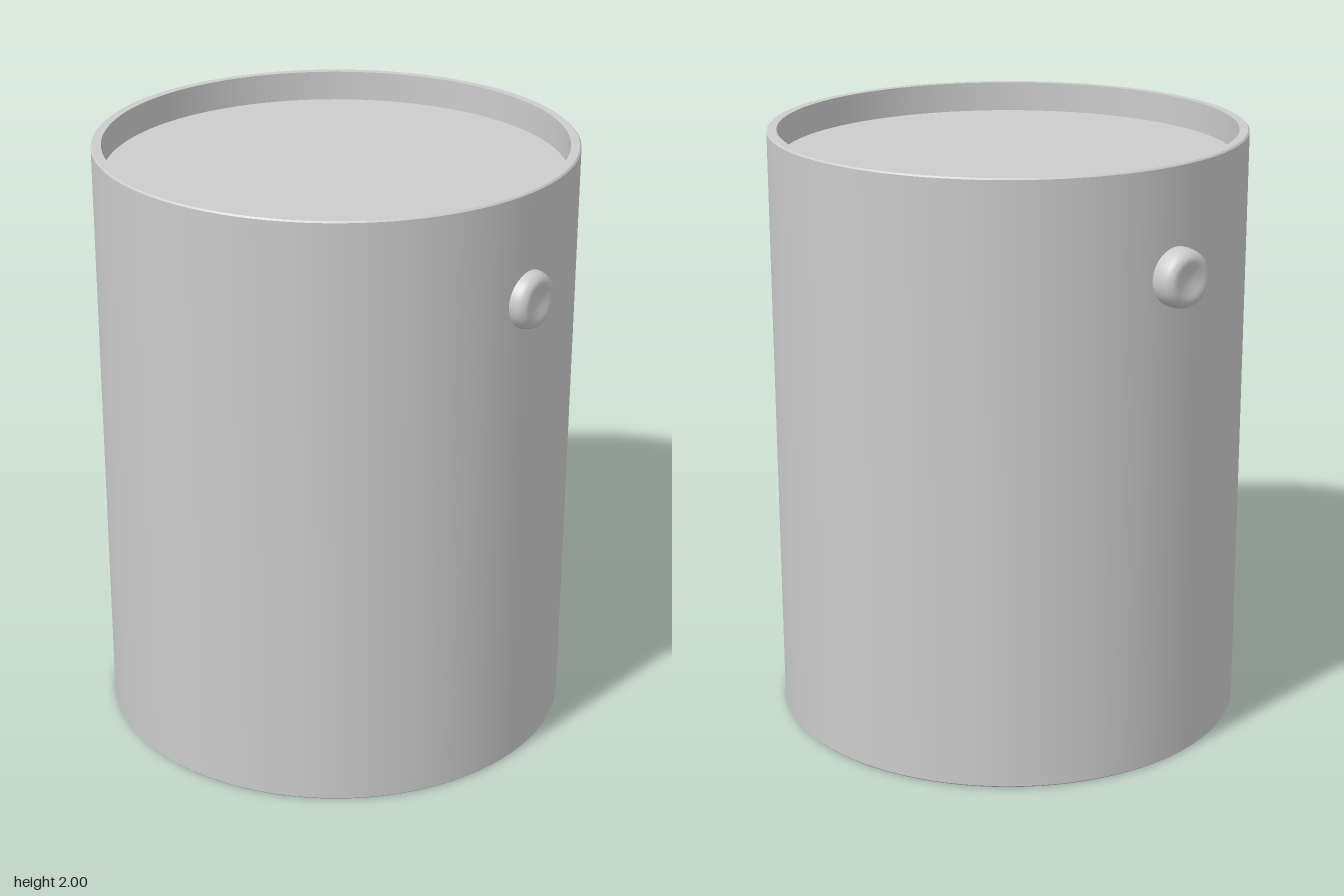
import * as THREE from 'three';
import { toCreasedNormals } from 'three/addons/utils/BufferGeometryUtils.js';

const OUTER = 0.785, INNER = 0.752, SEGMENTS = 96;

export function createModel() {
  const model = new THREE.Group();
  model.name = 'canister';
  const material = new THREE.MeshStandardMaterial({ color: 0xcccccc });

  const add = (parent, name, geometry) => {
    const mesh = new THREE.Mesh(geometry, material);
    mesh.name = name;
    parent.add(mesh);
    return mesh;
  };
  const vectors = (points) => points.map(([x, y]) => new THREE.Vector2(x, y));

  // Body sits slightly off centre because the pins stick out unevenly
  const body = new THREE.Group();
  body.name = 'body';
  body.position.x = 0.012;
  model.add(body);

  // Tube wall with a tiny bevel on its outer edges
  const b = 0.005;
  const wall = new THREE.LatheGeometry(vectors([
    [INNER, 0], [OUTER - b, 0], [OUTER, b], [OUTER, 2 - b],
    [OUTER - b, 2], [INNER, 2], [INNER, 0],
  ]), SEGMENTS);
  add(body, 'wall', toCreasedNormals(wall, Math.PI / 6));

  // Recessed lid and base discs
  const disc = (name, bottom, top) => {
    const mesh = add(body, name, new THREE.CylinderGeometry(INNER, INNER, top - bottom, SEGMENTS));
    mesh.position.y = (bottom + top) / 2;
  };
  disc('lid', 1.86, 1.9);
  disc('base', 0.04, 0.08);

  // Two opposite pins on one slightly turned axis
  const pins = new THREE.Group();
  pins.name = 'pins';
  pins.position.set(-0.004, 1.65, 0.02);
  pins.rotation.y = -0.107;
  model.add(pins);

  // Rounded head with a shallow dimple in its face
  const head = new THREE.SplineCurve(vectors([
    [0.09, 0.74], [0.095, 0.775], [0.094, 0.8], [0.088, 0.824],
    [0.074, 0.838], [0.058, 0.841], [0.035, 0.836], [0.015, 0.832], [0, 0.831],
  ]));
  const pin = new THREE.LatheGeometry([new THREE.Vector2(0, 0.74), ...head.getPoints(32)], 48);
  for (const [name, side] of [['leftPin', 1], ['rightPin', -1]]) {
    add(pins, name, pin).rotation.z = -side * Math.PI / 2;
  }

  return model;
}
